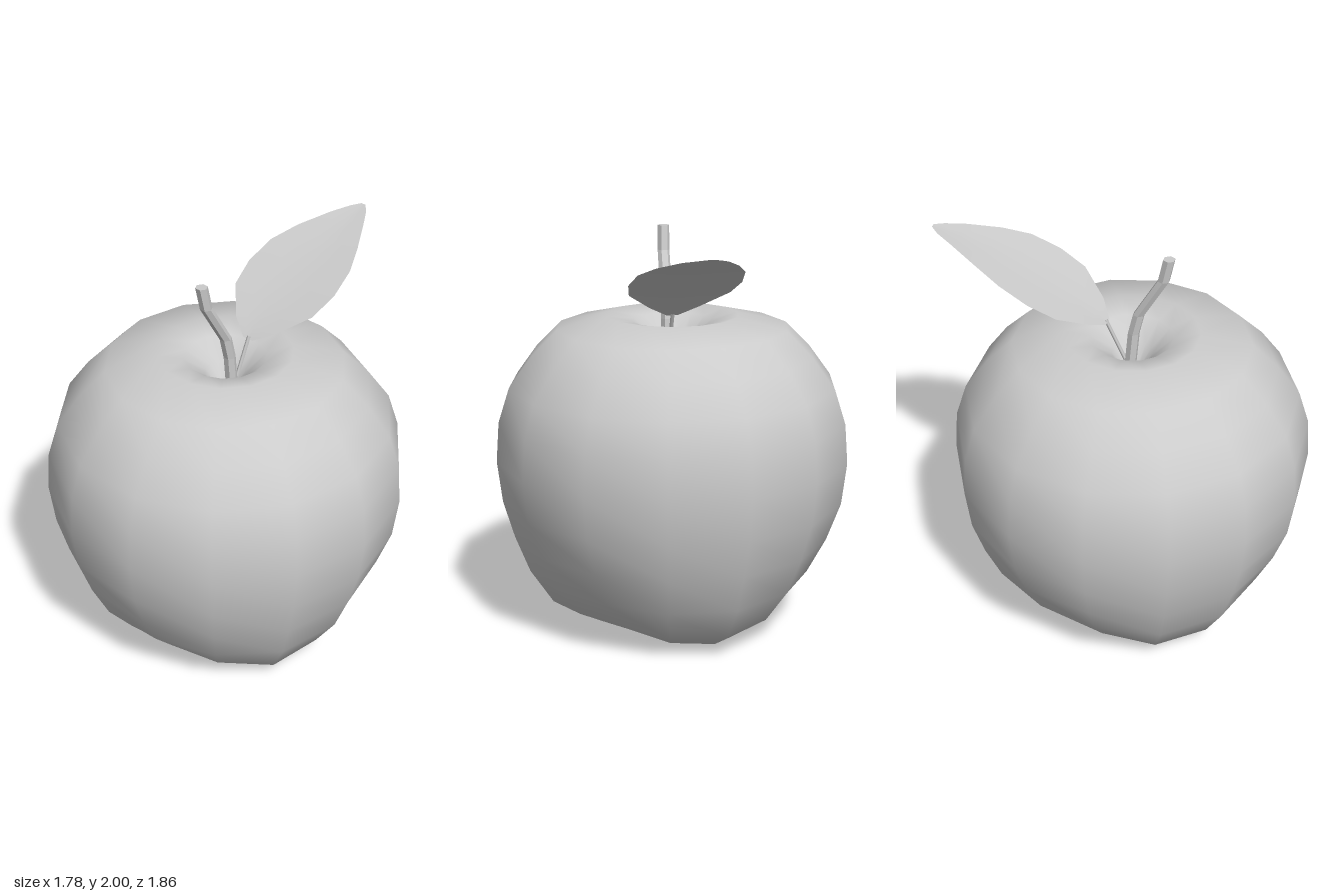
import * as THREE from 'three';
import { mergeVertices } from 'three/addons/utils/BufferGeometryUtils.js';

const grey = (opts = {}) => new THREE.MeshStandardMaterial({ color: 0xcccccc, ...opts });

function named(name, geometry, material) {
  const mesh = new THREE.Mesh(geometry, material);
  mesh.name = name;
  return mesh;
}

// Surface through rows of points, all rows having the same length
function loft(rows) {
  const n = rows[0].length, index = [];
  for (let i = 0; i < rows.length - 1; i++) {
    for (let j = 0; j < n - 1; j++) {
      const a = i * n + j, b = a + 1, c = a + n, d = c + 1;
      index.push(a, b, d, a, d, c);
    }
  }
  const geo = new THREE.BufferGeometry();
  geo.setAttribute('position', new THREE.Float32BufferAttribute(rows.flat(2), 3));
  geo.setIndex(index);
  geo.computeVertexNormals();
  return geo;
}

// Fruit: 14-sided lathe whose underside swells into three lobes
function makeFruit() {
  // radius, height, lobe swell, lift between lobes
  const profile = [
    [0, 0.18, 0, 0], [0.12, 0.155, 0, 0], [0.27, 0.06, 0.01, 0.03],
    [0.4, 0, 0.02, 0.05], [0.47, 0.015, 0.035, 0.05], [0.6, 0.1, 0.045, 0.03],
    [0.725, 0.28, 0.025, 0.01], [0.805, 0.47, 0.01, 0], [0.865, 0.66, 0, 0],
    [0.89, 0.87, 0, 0], [0.875, 1.07, 0, 0], [0.82, 1.24, 0, 0],
    [0.71, 1.39, 0, 0], [0.58, 1.52, 0, 0], [0.33, 1.58, 0, 0],
    [0.2, 1.55, 0, 0], [0.1, 1.46, 0, 0], [0.04, 1.37, 0, 0], [0, 1.34, 0, 0],
  ];
  const lathe = new THREE.LatheGeometry(
    profile.map(([r, y]) => new THREE.Vector2(r, y)), 14, Math.PI / 2);
  const pos = lathe.attributes.position;
  for (let i = 0; i < pos.count; i++) {
    const [r, y, swell, lift] = profile[i % profile.length];
    const angle = Math.atan2(pos.getZ(i), pos.getX(i));
    const lobe = Math.cos(3 * (angle - Math.PI / 9));
    const radius = r + swell * lobe;
    pos.setXYZ(i, radius * Math.cos(angle), y + lift * (1 - lobe) / 2, 0.06 + radius * Math.sin(angle));
  }
  lathe.deleteAttribute('uv');
  lathe.deleteAttribute('normal');
  const geo = mergeVertices(lathe, 1e-4);
  geo.computeVertexNormals();
  return named('fruit', geo, grey());
}

// Stem: level hexagonal sections along a bent path, closed at the top
function makeStem() {
  const path = [[0.03, 1.33, 0.04], [0.028, 1.56, 0.06], [0.026, 1.67, 0.085],
    [0.016, 1.88, 0.205], [0.012, 2, 0.23]];
  const ring = ([x, y, z], r) => Array.from({ length: 7 }, (_, k) => {
    const a = -k * Math.PI / 3;
    return [x + r * Math.cos(a), y, z + r * Math.sin(a)];
  });
  const rows = path.map((p) => ring(p, 0.03));
  rows.push(ring(path[path.length - 1], 0));
  return named('stem', loft(rows), grey({ flatShading: true }));
}

// Leaf: cross-strips along an arching midrib, slightly folded
function makeLeaf() {
  // z, height, half width
  const ribs = [
    [-0.07, 1.6, 0.03], [-0.125, 1.65, 0.125], [-0.25, 1.735, 0.245],
    [-0.38, 1.805, 0.27], [-0.52, 1.875, 0.25], [-0.65, 1.925, 0.19],
    [-0.8, 1.97, 0.105], [-0.89, 1.99, 0.05], [-0.93, 2, 0.012],
  ];
  const rows = ribs.map(([z, y, w]) => [-1, -0.5, 0, 0.5, 1].map((t) =>
    [0.027 + t * w, y - 0.05 * w * (1 - Math.abs(t)), z]));
  return named('leaf', loft(rows), grey({ side: THREE.DoubleSide }));
}

// Leaf stalk: thin rod from the hollow to the base of the leaf
function makeLeafStalk() {
  const curve = new THREE.LineCurve3(
    new THREE.Vector3(0.027, 1.36, 0.035), new THREE.Vector3(0.027, 1.61, -0.08));
  return named('leafStalk', new THREE.TubeGeometry(curve, 1, 0.01, 5), grey());
}

export function createModel() {
  const group = new THREE.Group();
  group.name = 'apple';
  group.add(makeFruit(), makeStem(), makeLeaf(), makeLeafStalk());
  return group;
}
